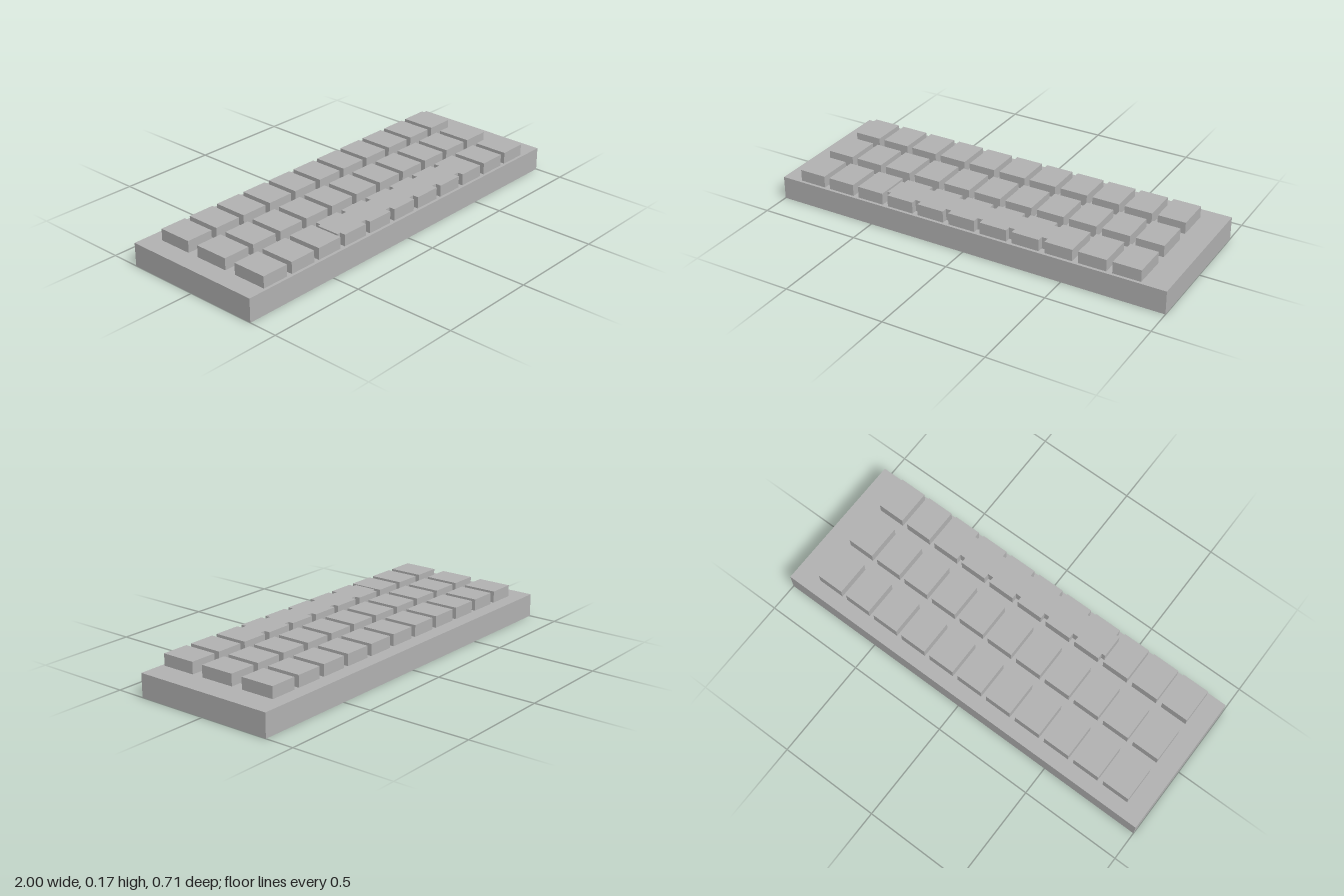
import * as THREE from 'three';

export function createModel() {
  const model = new THREE.Group();
  model.name = 'keyboard';
  const grey = new THREE.MeshStandardMaterial({ color: 0xb2b2b2 });
  grey.name = 'plain grey';

  const U = 1 / 7; // layout unit
  const baseHeight = 0.8 * U;
  const keyHeight = 0.4 * U;

  // Box standing on the given height
  const addBox = (parent, name, w, h, d, x, bottom, z) => {
    const mesh = new THREE.Mesh(new THREE.BoxGeometry(w, h, d), grey);
    mesh.name = name;
    mesh.position.set(x, bottom + h / 2, z);
    parent.add(mesh);
  };

  // Case
  addBox(model, 'case', 14 * U, baseHeight, 5 * U, 0, 0, 0);

  // Three rows of eleven keys, from back to front
  for (let row = 0; row < 3; row++) {
    const keyRow = new THREE.Group();
    keyRow.name = `keyRow${row + 1}`;
    for (let col = 0; col < 11; col++) {
      addBox(keyRow, `key${col + 1}`, 0.95 * U, keyHeight, 1.2 * U,
        (-5.85 + col * 1.15) * U, baseHeight, (-1.4 + row * 1.6) * U);
    }
    model.add(keyRow);
  }

  // Space bar running through the front row
  addBox(model, 'spaceBar', 6 * U, keyHeight, 0.8 * U, 0, baseHeight, 1.8 * U);

  return model;
}
